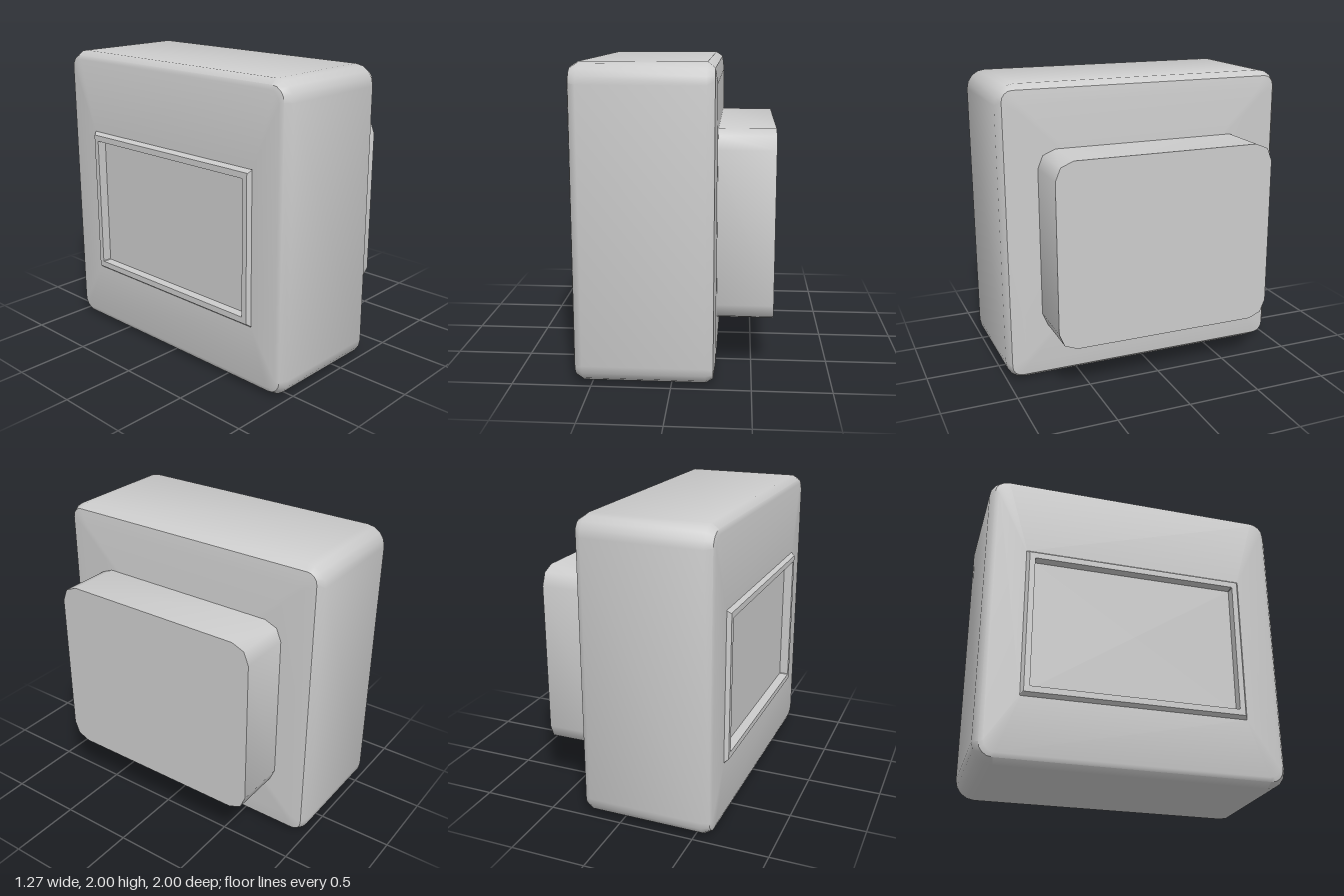
import * as THREE from 'three';
import { toCreasedNormals } from 'three/addons/utils/BufferGeometryUtils.js';

// Rounded rectangle in the y-z plane at a given x
function ring({ x, y, hy, hz, r }, segs) {
  const pts = [];
  for (let q = 0; q < 4; q++) {
    const mid = (q + 0.5) * Math.PI / 2;
    const cy = Math.sign(Math.cos(mid)) * (hy - r);
    const cz = Math.sign(Math.sin(mid)) * (hz - r);
    for (let s = 0; s <= segs; s++) {
      const a = (q + s / segs) * Math.PI / 2;
      pts.push([x, y + cy + r * Math.cos(a), cz + r * Math.sin(a)]);
    }
  }
  return pts;
}

// Skin a series of rings, optionally closing either end
function loft(name, sections, segs, crease, capStart, capEnd, material) {
  const rings = sections.map((s) => ring(s, segs));
  const n = rings[0].length;
  const pos = [];
  const tri = (a, b, c) => pos.push(...a, ...b, ...c);
  for (let k = 0; k < rings.length - 1; k++) {
    for (let i = 0; i < n; i++) {
      const j = (i + 1) % n;
      tri(rings[k][i], rings[k][j], rings[k + 1][j]);
      tri(rings[k][i], rings[k + 1][j], rings[k + 1][i]);
    }
  }
  const cap = (k, flip) => {
    const c = [sections[k].x, sections[k].y, 0];
    for (let i = 0; i < n; i++) {
      const a = rings[k][i], b = rings[k][(i + 1) % n];
      if (flip) tri(c, b, a); else tri(c, a, b);
    }
  };
  if (capStart) cap(0, true);
  if (capEnd) cap(rings.length - 1, false);
  const geo = new THREE.BufferGeometry();
  geo.setAttribute('position', new THREE.Float32BufferAttribute(pos, 3));
  const mesh = new THREE.Mesh(toCreasedNormals(geo, crease * Math.PI / 180), material);
  mesh.name = name;
  return mesh;
}

export function createModel() {
  const group = new THREE.Group();
  group.name = 'switchBlock';
  const grey = new THREE.MeshStandardMaterial({ color: 0xcccccc });
  grey.name = 'lightGrey';

  // Square housing with softened edges, open behind the frame
  const inset = (x, d, r) => ({ x, y: 1, hy: 1 - d, hz: 1 - d, r });
  const housing = [
    { x: -0.612, y: 0.94, hy: 0.51, hz: 0.74, r: 0.004 },
    inset(-0.612, 0.06, 0.07), inset(-0.603, 0.032, 0.09), inset(-0.555, 0, 0.13),
    inset(0.215, 0, 0.13), inset(0.262, 0.035, 0.07), inset(0.275, 0.13, 0.03),
  ];
  group.add(loft('housing', housing, 4, 40, false, true, grey));

  // Raised rim around a recessed panel
  const rect = (x, hy, hz) => ({ x, y: 0.94, hy, hz, r: 0.004 });
  const frame = [
    rect(-0.575, 0.45, 0.685), rect(-0.638, 0.45, 0.685),
    rect(-0.638, 0.49, 0.722), rect(-0.612, 0.51, 0.74),
  ];
  group.add(loft('recessedFrame', frame, 1, 20, true, false, grey));

  // Block standing out from the opposite face
  const block = [0.25, 0.636].map((x) => ({ x, y: 0.962, hy: 0.617, hz: 0.75, r: 0.12 }));
  group.add(loft('sideBlock', block, 2, 50, false, true, grey));

  return group;
}
